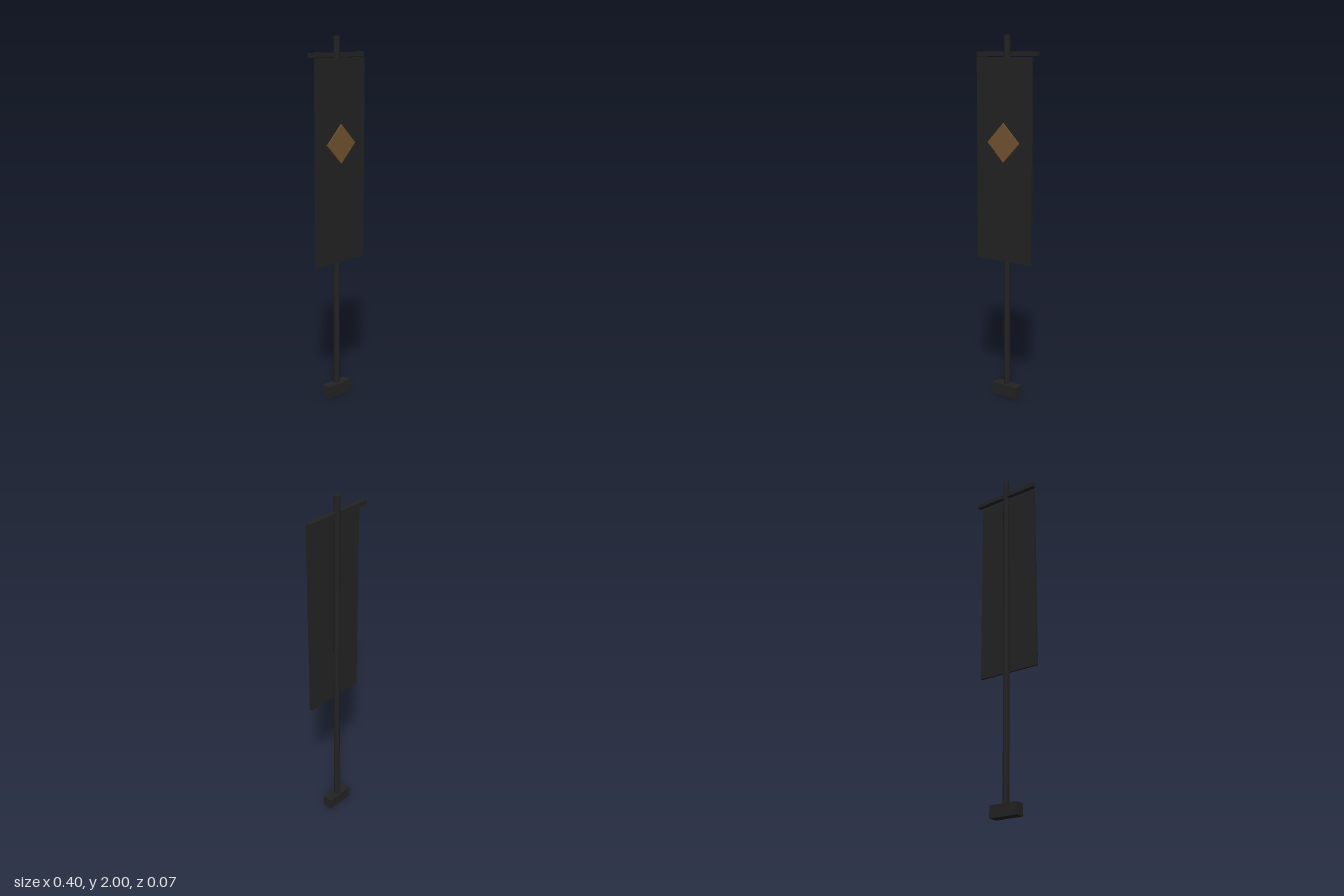
import * as THREE from 'three';

export function createModel() {
  const group = new THREE.Group();
  const dark = new THREE.MeshStandardMaterial({ color: 0x232323 });
  dark.name = 'charcoal';
  const bronze = new THREE.MeshStandardMaterial({ color: 0x735430 });
  bronze.name = 'bronze';

  const add = (name, geometry, material, x, y, z) => {
    const mesh = new THREE.Mesh(geometry, material);
    mesh.name = name;
    mesh.position.set(x, y, z);
    group.add(mesh);
    return mesh;
  };
  const poleZ = -0.004;

  // Foot block, upright pole and crossbar share one axis
  add('base', new THREE.BoxGeometry(0.166, 0.066, 0.058), dark, 0, 0.033, poleZ);
  add('pole', new THREE.CylinderGeometry(0.0175, 0.0175, 1.96, 12), dark, 0, 1.02, poleZ);
  add('crossbar', new THREE.BoxGeometry(0.4, 0.024, 0.024), dark, 0, 1.902, poleZ);

  // Hanging cloth in front of the pole
  add('bannerCloth', new THREE.BoxGeometry(0.367, 1.102, 0.012), dark, 0, 1.336, 0.021);

  // Thin diamond on the cloth
  const side = 0.106 * Math.SQRT2;
  const diamond = add('diamond', new THREE.BoxGeometry(side, side, 0.008), bronze, 0, 1.436, 0.029);
  diamond.rotation.z = Math.PI / 4;

  return group;
}
